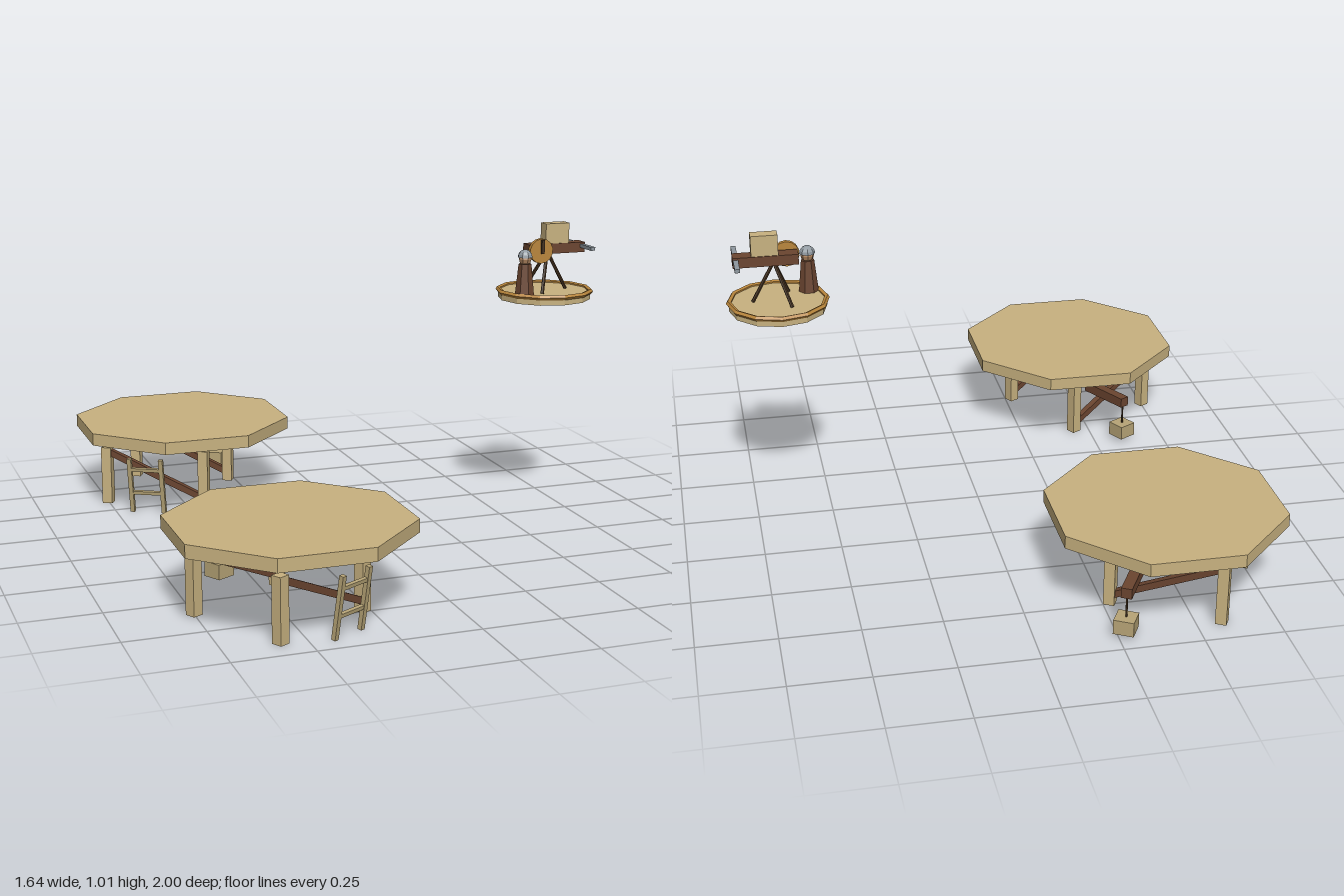
import * as THREE from 'three';

const mat = (color) => new THREE.MeshStandardMaterial({ color, flatShading: true });
const wood = mat(0xc8b280), paleWood = mat(0xb8a577), brown = mat(0x6b4530), darkBrown = mat(0x46321f);
const gold = mat(0xb9863c), steel = mat(0x8f989f), skin = mat(0xb0855f);

function add(parent, name, geometry, material, x = 0, y = 0, z = 0) {
  const m = new THREE.Mesh(geometry, material);
  m.name = name;
  m.position.set(x, y, z);
  parent.add(m);
  return m;
}
const box = (w, h, d) => new THREE.BoxGeometry(w, h, d);
const cyl = (rTop, rBottom, h, n) => new THREE.CylinderGeometry(rTop, rBottom, h, n);

// Bar running from point a to point b
function bar(parent, name, a, b, geometryFor, material) {
  const from = new THREE.Vector3(...a), to = new THREE.Vector3(...b);
  const dir = to.clone().sub(from);
  const m = add(parent, name, geometryFor(dir.length()), material);
  m.position.copy(from).add(to).multiplyScalar(0.5);
  m.quaternion.setFromUnitVectors(new THREE.Vector3(0, 1, 0), dir.normalize());
  return m;
}

// Octagonal platform with its turned understructure; side is +1 or -1 along z
function platform(side) {
  const g = new THREE.Group();
  g.name = side > 0 ? 'frontPlatform' : 'backPlatform';
  const deck = add(g, 'deck', cyl(0.382, 0.382, 0.042, 8), wood, -0.467, 0.261, side * 0.646);
  deck.rotation.y = Math.PI / 8;

  const frame = new THREE.Group();
  frame.name = 'understructure';
  frame.position.set(-0.512, 0, side * 0.673);
  frame.rotation.y = side * 0.51;
  g.add(frame);

  // Legs and diagonal braces
  const s = 0.175;
  for (const z of [-s, s]) {
    for (const x of [-s, s]) add(frame, 'leg', box(0.035, 0.203, 0.035), wood, x, 0.1015, z);
    bar(frame, 'brace', [-s, 0.19, z], [s, 0.03, z], (l) => box(0.022, l, 0.022), brown);
  }

  // Ladder leaning outward at the top
  const ladder = new THREE.Group();
  ladder.name = 'ladder';
  ladder.position.set(0, 0.1, 0.288);
  ladder.rotation.x = 0.16;
  frame.add(ladder);
  for (const x of [-0.056, 0.056]) add(ladder, 'ladderRail', box(0.015, 0.2, 0.015), paleWood, x, 0, 0);
  for (const y of [-0.027, 0.06]) add(ladder, 'ladderRung', box(0.112, 0.012, 0.012), paleWood, 0, y, 0);

  // Hoist arm with a hanging crate
  add(frame, 'hoistArm', box(0.034, 0.034, 0.19), brown, 0.085, 0.149, -0.25);
  add(frame, 'hoistRope', cyl(0.0035, 0.0035, 0.08, 5), darkBrown, 0.085, 0.1, -0.335);
  add(frame, 'hangingCrate', box(0.064, 0.048, 0.064), paleWood, 0.085, 0.04, -0.335);
  return g;
}

// Raised round nest carrying the tripod machine and its keeper
function lookout() {
  const g = new THREE.Group();
  g.name = 'lookout';
  g.position.set(0.65, 0, 0);
  add(g, 'roundDeck', cyl(0.157, 0.157, 0.027, 12), wood, 0, 0.769, 0);
  const ring = add(g, 'deckRing', new THREE.TorusGeometry(0.157, 0.009, 5, 12), gold, 0, 0.782, 0);
  ring.rotation.x = Math.PI / 2;

  // Tripod
  for (let i = 0; i < 3; i++) {
    const a = (i * Math.PI * 2) / 3;
    bar(g, 'tripodLeg', [0.008, 0.915, 0], [0.08 * Math.cos(a), 0.783, 0.08 * Math.sin(a)],
      (l) => cyl(0.006, 0.006, l, 6), darkBrown);
  }

  // Crossbow: stock, bow bar, magazine, wheel and crank
  add(g, 'stock', box(0.208, 0.034, 0.048), brown, 0.034, 0.926, 0);
  add(g, 'bowBar', box(0.016, 0.012, 0.21), steel, 0.128, 0.931, 0);
  add(g, 'magazine', box(0.086, 0.068, 0.042), wood, 0.036, 0.977, 0);
  const wheel = add(g, 'windingWheel', cyl(0.042, 0.042, 0.016, 14), gold, -0.036, 0.924, 0.042);
  wheel.rotation.x = Math.PI / 2;
  add(g, 'crank', box(0.01, 0.046, 0.01), darkBrown, -0.034, 0.939, 0.054);

  // Keeper figure
  const keeper = new THREE.Group();
  keeper.name = 'keeper';
  keeper.position.set(-0.105, 0.782, 0.068);
  g.add(keeper);
  add(keeper, 'robe', cyl(0.022, 0.033, 0.106, 7), brown, 0, 0.053, 0);
  add(keeper, 'head', new THREE.SphereGeometry(0.022, 8, 6), skin, 0, 0.122, 0);
  add(keeper, 'helmet', new THREE.SphereGeometry(0.026, 8, 4, 0, Math.PI * 2, 0, Math.PI / 2),
    Object.assign(steel.clone(), { side: THREE.DoubleSide }), 0, 0.128, 0);
  return g;
}

export function createModel() {
  const model = new THREE.Group();
  model.name = 'platformOutpost';
  model.add(platform(1), platform(-1), lookout());
  return model;
}
